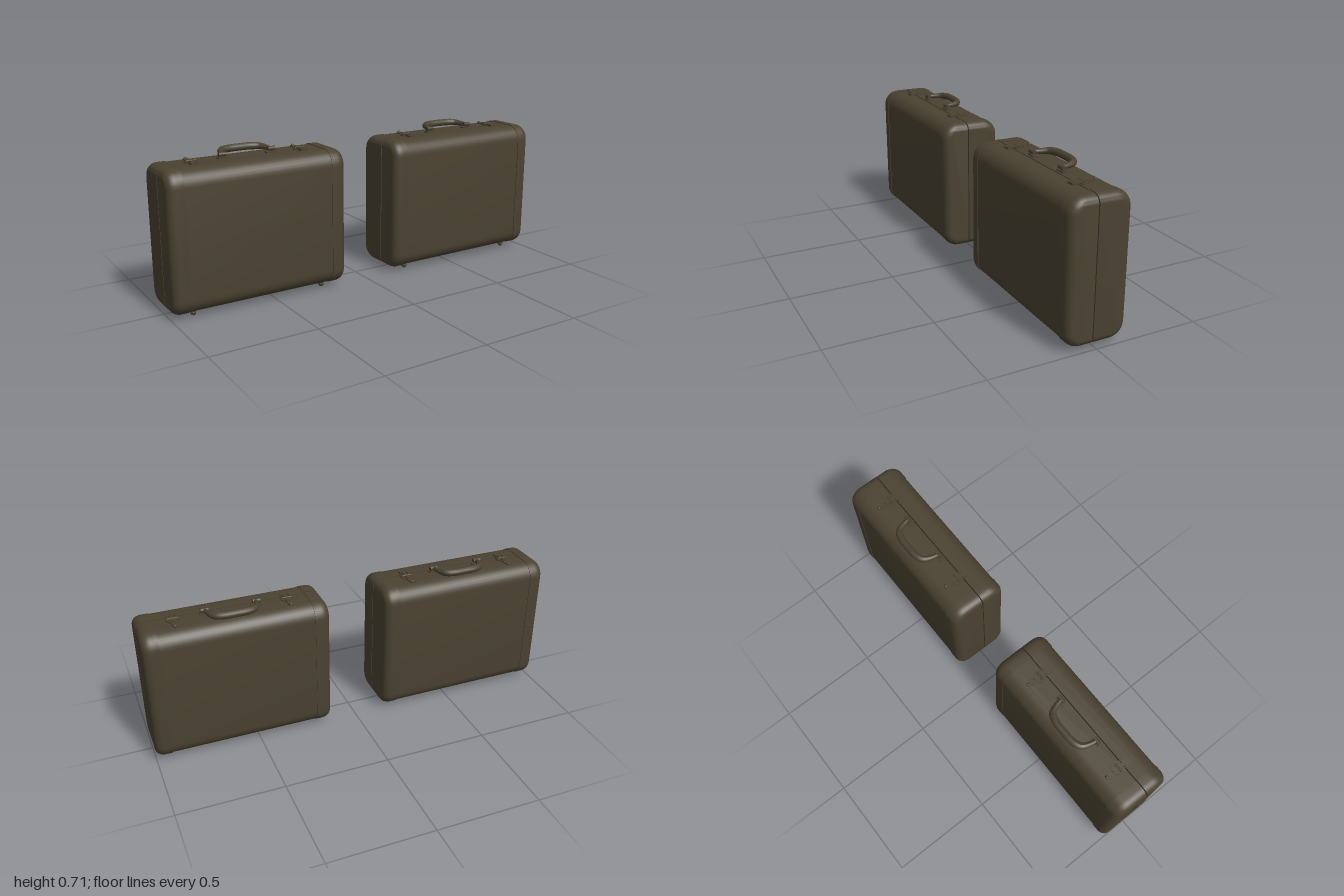
import * as THREE from 'three';
import { toCreasedNormals } from 'three/addons/utils/BufferGeometryUtils.js';

const olive = new THREE.MeshStandardMaterial({ color: 0x4a4231 });
olive.name = 'olive brown';

const BOTTOM = 0.019, TOP = 0.67, SEAM = 0.02, GAP = 0.0025;

function add(parent, name, geometry, x = 0, y = 0, z = 0) {
  const mesh = new THREE.Mesh(geometry, olive);
  mesh.name = name;
  mesh.position.set(x, y, z);
  parent.add(mesh);
  return mesh;
}

// Cross-section [z, y] of one half shell: flat at the seam, rounded outside
function section(dir, inset) {
  const outer = (dir > 0 ? 0.147 : -0.145) - dir * inset;
  const lo = BOTTOM + inset, hi = TOP - inset;
  const r = 0.075 - inset * 1.1;
  const pts = [[SEAM + dir * GAP, lo]];
  const n = 8;
  for (let i = 0; i <= n; i++) {
    const a = i / n * Math.PI / 2;
    pts.push([outer - dir * r * (1 - Math.sin(a)), lo + r * (1 - Math.cos(a))]);
  }
  for (let i = 0; i <= n; i++) {
    const a = i / n * Math.PI / 2;
    pts.push([outer - dir * r * (1 - Math.cos(a)), hi - r * (1 - Math.sin(a))]);
  }
  pts.push([SEAM + dir * GAP, hi]);
  return dir > 0 ? pts : pts.reverse();
}

// Loft the half section along x through stations [x, inset], with closed ends
function loft(dir, stations) {
  const rings = stations.map(([x, inset]) => section(dir, inset).map(([z, y]) => [x, y, z]));
  const out = [];
  const tri = (...p) => p.forEach((v) => out.push(...v));
  const n = rings[0].length;
  for (let i = 0; i < rings.length - 1; i++) {
    for (let j = 0; j < n; j++) {
      const k = (j + 1) % n;
      const a = rings[i][j], b = rings[i][k], c = rings[i + 1][k], d = rings[i + 1][j];
      tri(a, d, c);
      tri(a, c, b);
    }
  }
  const first = rings[0], last = rings[rings.length - 1];
  for (let j = 1; j < n - 1; j++) {
    tri(first[0], first[j], first[j + 1]);
    tri(last[0], last[j + 1], last[j]);
  }
  const g = new THREE.BufferGeometry();
  g.setAttribute('position', new THREE.Float32BufferAttribute(out, 3));
  return toCreasedNormals(g, 0.6);
}

function shells(parent) {
  // Right end cap: straight collar, then a quarter-round into the end panel
  const cap = [[0.355, 0]];
  for (let i = 0; i <= 7; i++) {
    const a = i / 7 * Math.PI / 2;
    cap.push([0.388 + 0.042 * Math.sin(a), 0.036 * (1 - Math.cos(a))]);
  }
  const mirrored = cap.map(([x, inset]) => [-x, inset]).reverse();
  for (const [dir, label] of [[1, 'front'], [-1, 'back']]) {
    add(parent, label + 'Shell', loft(dir, [[-0.355, 0.003], [0.355, 0.003]]));
    add(parent, label + 'LeftCap', loft(dir, cap));
    add(parent, label + 'RightCap', loft(dir, mirrored));
  }
}

// Carrying handle lying back over the rear half, thicker at the grip
function handle(parent) {
  const g = new THREE.Group();
  g.name = 'handle';
  const path = new THREE.CatmullRomCurve3([
    [-0.118, 0.686, -0.005], [-0.112, 0.686, -0.035], [-0.095, 0.688, -0.072], [-0.06, 0.689, -0.088],
    [0, 0.6895, -0.091],
    [0.06, 0.689, -0.088], [0.095, 0.688, -0.072], [0.112, 0.686, -0.035], [0.118, 0.686, -0.005],
  ].map((p) => new THREE.Vector3(...p)));
  const tube = new THREE.TubeGeometry(path, 48, 0.0175, 12);
  const pos = tube.attributes.position, uv = tube.attributes.uv;
  const v = new THREE.Vector3();
  for (let i = 0; i < pos.count; i++) {
    const u = uv.getX(i), c = path.getPointAt(u);
    const k = 0.5 + 0.5 * Math.min(1, Math.sin(Math.PI * u) * 1.3);
    v.fromBufferAttribute(pos, i).sub(c).multiplyScalar(k).add(c);
    pos.setXYZ(i, v.x, v.y, v.z);
  }
  tube.computeVertexNormals();
  add(g, 'grip', tube);
  for (const s of [-1, 1]) {
    add(g, 'handlePlate', new THREE.BoxGeometry(0.05, 0.006, 0.022), s * 0.118, 0.67, -0.004);
    add(g, 'handlePivot', new THREE.CylinderGeometry(0.01, 0.01, 0.036, 14), s * 0.12, 0.686, -0.003)
      .rotation.z = Math.PI / 2;
    add(g, 'handlePost', new THREE.BoxGeometry(0.012, 0.018, 0.014), s * 0.13, 0.678, -0.003);
  }
  parent.add(g);
}

// Flat outline [x, z] extruded upwards
function plate(points, height) {
  const shape = new THREE.Shape(points.map(([x, z]) => new THREE.Vector2(x, -z)));
  return new THREE.ExtrudeGeometry(shape, { depth: height, bevelEnabled: false }).rotateX(-Math.PI / 2);
}

function latch(parent, x) {
  const g = new THREE.Group();
  g.name = 'latch';
  g.position.x = x;
  add(g, 'latchBase', plate([
    [-0.03, 0.012], [-0.03, -0.015], [-0.015, -0.035], [-0.01, -0.075],
    [0.01, -0.075], [0.015, -0.035], [0.03, -0.015], [0.03, 0.012],
  ], 0.006), 0, 0.666, 0);
  add(g, 'latchKeeper', plate([
    [-0.022, 0.025], [-0.018, 0.05], [0.018, 0.05], [0.022, 0.025],
  ], 0.008), 0, 0.667, 0);
  add(g, 'latchLever', new THREE.BoxGeometry(0.02, 0.005, 0.075), 0, 0.674, 0.002);
  for (const s of [-1, 1]) {
    add(g, 'latchArm', new THREE.BoxGeometry(0.006, 0.006, 0.05), s * 0.017, 0.673, 0.012);
  }
  add(g, 'latchPivot', new THREE.CylinderGeometry(0.005, 0.005, 0.046, 12), 0, 0.674, -0.005)
    .rotation.z = Math.PI / 2;
  add(g, 'latchKnob', new THREE.SphereGeometry(0.008, 12, 8), 0, 0.671, -0.07);
  parent.add(g);
}

function hinge(parent, x) {
  const g = new THREE.Group();
  g.name = 'hinge';
  g.position.x = x;
  add(g, 'hingeLeaf', new THREE.BoxGeometry(0.045, 0.005, 0.06), 0, 0.021, SEAM);
  add(g, 'hingeBarrel', new THREE.CylinderGeometry(0.005, 0.005, 0.045, 12), 0, 0.019, SEAM)
    .rotation.z = Math.PI / 2;
  parent.add(g);
}

function foot(parent, x, z) {
  add(parent, 'foot', new THREE.SphereGeometry(0.0135, 14, 10), x, 0.0135, z);
  add(parent, 'footStem', new THREE.CylinderGeometry(0.0125, 0.0125, 0.012, 14), x, 0.019, z);
}

function suitcase(name, x) {
  const g = new THREE.Group();
  g.name = name;
  g.position.x = x;
  shells(g);
  handle(g);
  for (const s of [-1, 1]) {
    latch(g, s * 0.265);
    hinge(g, s * 0.265);
    foot(g, s * 0.325, 0.079);
    foot(g, s * 0.325, -0.057);
  }
  return g;
}

export function createModel() {
  const model = new THREE.Group();
  model.name = 'suitcases';
  model.add(suitcase('rightSuitcase', -0.57), suitcase('leftSuitcase', 0.57));
  return model;
}
